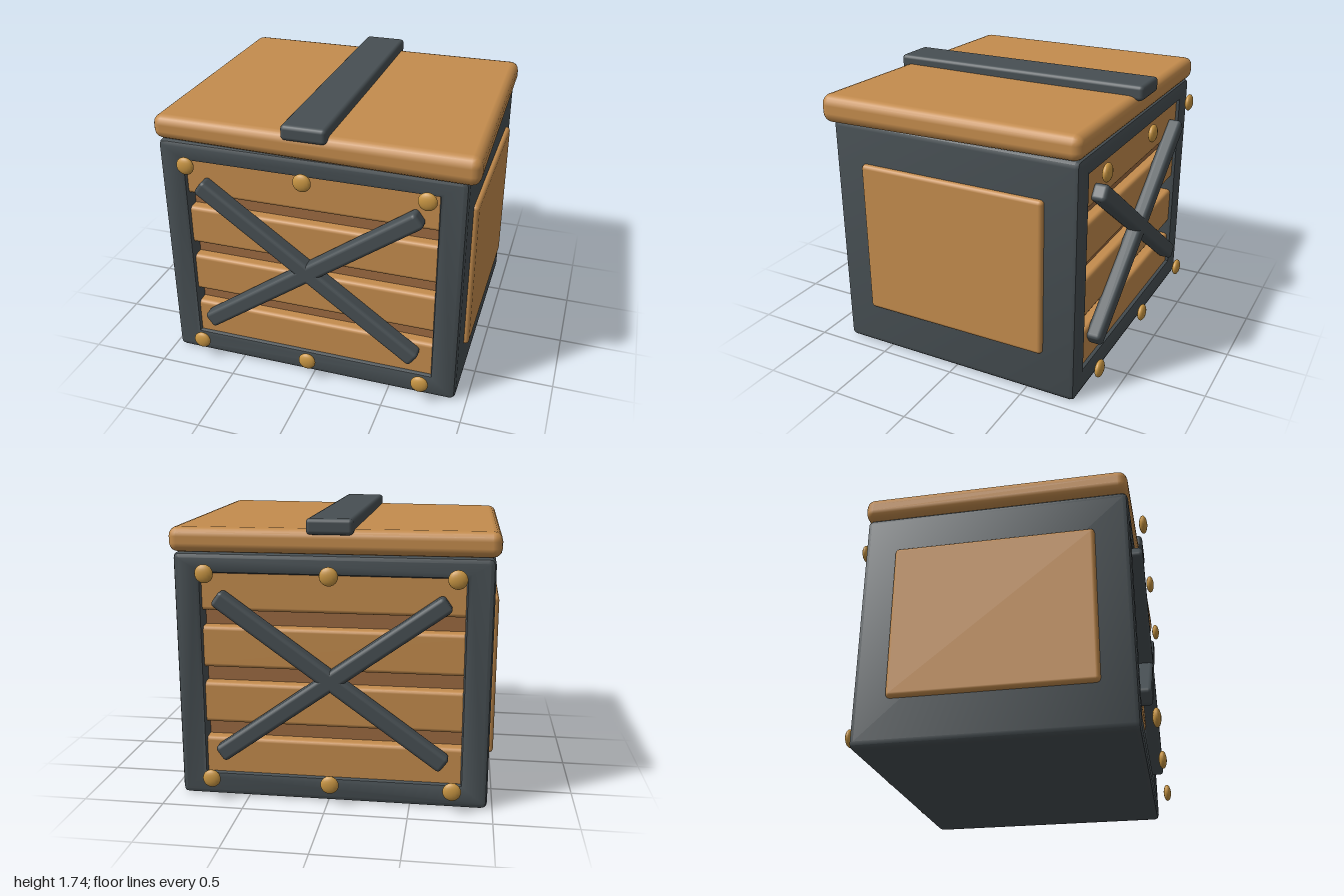
import * as THREE from 'three';
import { RoundedBoxGeometry } from 'three/addons/geometries/RoundedBoxGeometry.js';
import { toCreasedNormals } from 'three/addons/utils/BufferGeometryUtils.js';

const mat = (color) => new THREE.MeshStandardMaterial({ color });
const CX = -0.02; // centre line of the crate body

export function createModel() {
  const model = new THREE.Group();
  model.name = 'crate';
  const wood = mat(0xc48c4d), shade = mat(0x9c6a41), iron = mat(0x474f53), brass = mat(0xc99643);

  const add = (name, geometry, material, x, y, z, parent = model) => {
    const mesh = new THREE.Mesh(geometry, material);
    mesh.name = name;
    mesh.position.set(x, y, z);
    parent.add(mesh);
    return mesh;
  };
  const box = (w, h, d, r) => new RoundedBoxGeometry(w, h, d, 2, r);

  // Body: a dark shell open at front and back, with bevelled rims
  const x0 = CX - 0.948, x1 = CX + 0.948, y0 = 0, y1 = 1.53, r = 0.04, bevel = 0.03;
  const outline = new THREE.Shape();
  outline.moveTo(x0 + r, y0).lineTo(x1 - r, y0).quadraticCurveTo(x1, y0, x1, y0 + r);
  outline.lineTo(x1, y1 - r).quadraticCurveTo(x1, y1, x1 - r, y1);
  outline.lineTo(x0 + r, y1).quadraticCurveTo(x0, y1, x0, y1 - r);
  outline.lineTo(x0, y0 + r).quadraticCurveTo(x0, y0, x0 + r, y0);
  const opening = new THREE.Path();
  opening.moveTo(CX - 0.784, 0.15).lineTo(CX - 0.784, 1.405);
  opening.lineTo(CX + 0.784, 1.405).lineTo(CX + 0.784, 0.15).closePath();
  outline.holes.push(opening);
  const shell = new THREE.ExtrudeGeometry(outline, {
    depth: 1.64 - 2 * bevel, curveSegments: 3, bevelSegments: 2,
    bevelSize: bevel, bevelThickness: bevel, bevelOffset: -bevel,
  });
  add('body', toCreasedNormals(shell, 0.6), iron, 0, 0, -0.82 + bevel);

  // Darker boards behind the gaps between planks
  add('backing', new THREE.BoxGeometry(1.6, 1.3, 1.44), shade, CX, 0.78, 0);

  // Front and back: planks, crossed braces and studs
  for (const side of [1, -1]) {
    const face = new THREE.Group();
    face.name = side > 0 ? 'frontFace' : 'backFace';
    model.add(face);
    for (let i = 0; i < 4; i++) {
      add('plank', box(1.64, 0.257, 0.11, 0.025), wood, CX, 0.245 + i * 0.353, side * 0.737, face);
    }
    for (const tilt of [1, -1]) {
      const brace = add('brace', box(1.69, 0.107, 0.1, 0.025), iron, CX, 0.778, side * 0.83, face);
      brace.rotation.z = tilt * 0.624;
    }
    for (const x of [-0.735, 0, 0.735]) {
      for (const y of [0.14, 1.418]) {
        const stud = add('stud', new THREE.SphereGeometry(0.056, 16, 12), brass, CX + x, y, side * 0.896, face);
        stud.scale.z = 0.45;
      }
    }
  }

  // Raised panel on each side
  for (const side of [1, -1]) {
    add('sidePanel', box(0.1, 0.99, 1.23, 0.025), wood, CX + side * 0.928, 0.78, 0);
  }

  // Lid: a rounded slab, swollen slightly towards its front left corner
  const lidShape = box(1.95, 0.15, 1.66, 0.055);
  const p = lidShape.attributes.position;
  for (let i = 0; i < p.count; i++) {
    const k = (p.getX(i) / 1.95 + 0.5) * (p.getZ(i) / 1.66 + 0.5);
    p.setXYZ(i, p.getX(i) + 0.04 * k, p.getY(i) * (1 + 0.2 * k), p.getZ(i) + 0.04 * k);
  }
  lidShape.computeBoundingSphere();
  add('lid', lidShape, wood, CX - 0.003, 1.604, -0.006);

  // Strap over the lid
  add('lidStrap', box(0.275, 0.095, 1.732, 0.025), iron, CX, 1.697, 0);

  return model;
}
